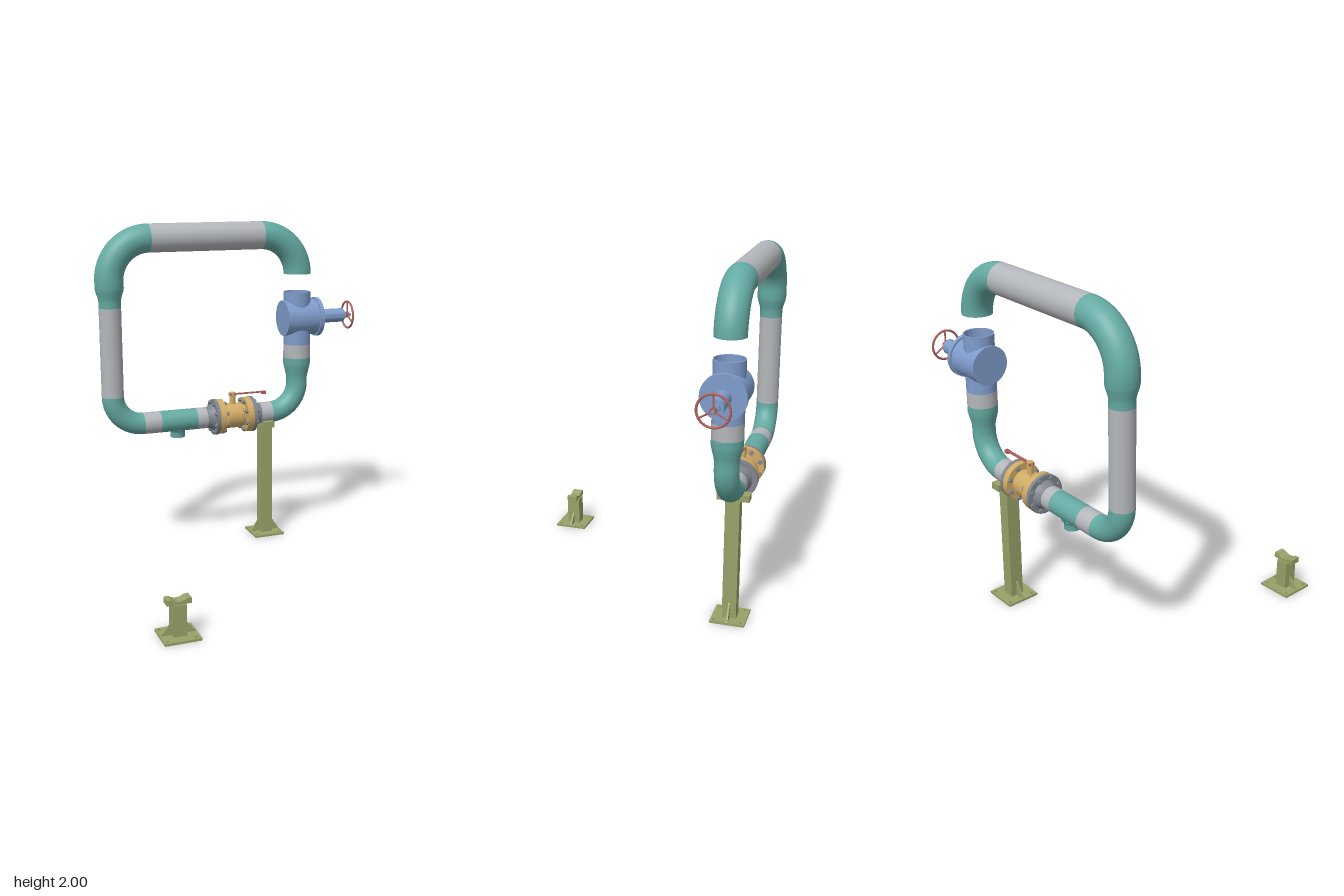
import * as THREE from 'three';
import { toCreasedNormals } from 'three/addons/utils/BufferGeometryUtils.js';

const Z = -0.625; // plane of the pipe loop
const material = (name, color) => {
  const m = new THREE.MeshStandardMaterial({ color, side: THREE.DoubleSide });
  m.name = name;
  return m;
};

export function createModel() {
  const root = new THREE.Group();
  root.name = 'pipeLoop';
  const teal = material('teal fitting', 0x65aaa3);
  const grey = material('grey pipe', 0xb4b7bb);
  const blue = material('blue valve', 0x7f9ccb);
  const tan = material('tan ball valve', 0xd0ab66);
  const olive = material('olive support', 0x98a168);
  const red = material('red handle', 0xae625d);
  const steel = material('steel flange', 0x7f858f);

  const add = (name, geo, mat, x = 0, y = 0, z = 0, parent = root) => {
    const mesh = new THREE.Mesh(geo, mat);
    mesh.name = name;
    mesh.position.set(x, y, z);
    parent.add(mesh);
    return mesh;
  };
  // Turned part; profile is [radius, distance along axis]
  const turned = (name, mat, profile, axis, x, y, z = Z, parent = root, sides = 40) => {
    const geo = toCreasedNormals(
      new THREE.LatheGeometry(profile.map(p => new THREE.Vector2(...p)), sides), 0.6);
    if (axis === 'x') geo.rotateZ(-Math.PI / 2);
    return add(name, geo, mat, x, y, z, parent);
  };
  const disc = (r, a, b) => [[0, a], [r, a], [r, b], [0, b]];

  const big = 0.085, small = 0.066, wall = 0.007;
  const left = -0.741, right = 0.455, low = 0.8, high = 1.915;

  // Straight pipe runs
  const run = (name, mat, r, a, b, axis, at) => turned(name, mat, [[r, a], [r, b]], axis,
    axis === 'x' ? 0 : at, axis === 'x' ? at : 0);
  run('topPipe', grey, big, -0.5, 0.213, 'x', high);
  run('leftPipe', grey, small, 0.98, 1.515, 'y', left);
  run('bottomPipe', grey, small, -0.56, -0.455, 'x', low);
  run('teeRun', teal, small, -0.455, -0.225, 'x', low);
  run('pipeBeforeValve', grey, small, -0.225, -0.16, 'x', low);
  run('pipeAfterValve', grey, small, 0.195, 0.273, 'x', low);
  run('rightPipe', grey, big, 1.145, 1.23, 'y', right);

  // Elbows, one quarter turn each
  const elbow = (name, r, bend, x, y, quarter) => {
    const e = add(name, new THREE.TorusGeometry(bend, r, 40, 28, Math.PI / 2), teal, x, y, Z);
    e.rotation.z = quarter * Math.PI / 2;
  };
  elbow('topRightElbow', big, 0.242, 0.213, 1.673, 0);
  elbow('topRightElbowBore', big - wall, 0.242, 0.213, 1.673, 0);
  elbow('topLeftElbow', big, 0.242, -0.5, 1.673, 1);
  elbow('bottomLeftElbow', small, 0.181, -0.56, 0.981, 2);
  elbow('bottomRightElbow', small, 0.182, 0.273, 0.982, 3);
  add('elbowRim', new THREE.RingGeometry(big - wall, big, 40), teal, right, 1.673, Z)
    .rotation.x = Math.PI / 2;

  // Reducers and tee branch
  turned('leftReducer', teal,
    [[small, 1.515], [small, 1.555], [0.07, 1.575], [0.081, 1.61], [big, 1.63], [big, 1.673]], 'y', left, 0);
  turned('rightReducer', teal,
    [[small, 0.98], [small, 1.02], [0.07, 1.04], [0.081, 1.085], [big, 1.105], [big, 1.145]], 'y', right, 0);
  turned('teeBranch', teal,
    [[0.037, 0.78], [0.037, 0.697], [0.044, 0.697], [0.044, 0.727], [0.048, 0.738], [0.058, 0.748]],
    'y', -0.342, 0);

  // Flanged ball valve, symmetric about its middle
  const valve = new THREE.Group();
  valve.name = 'ballValve';
  valve.position.set(0.0185, low, Z);
  root.add(valve);
  const half = [[0.06, 0.11], [0.109, 0.11], [0.109, 0.07], [0.07, 0.07], [0.07, 0.055], [0.077, 0.05], [0.078, 0.02]];
  turned('ballValveBody', tan,
    [...half.map(([r, a]) => [r, -a]), ...half.slice().reverse()], 'x', 0, 0, 0, valve);
  for (const s of [-1, 1]) {
    const end = new THREE.Group();
    end.name = s < 0 ? 'leftFlange' : 'rightFlange';
    end.rotation.y = s < 0 ? Math.PI : 0;
    valve.add(end);
    turned('weldNeckFlange', steel,
      [[0.06, 0.11], [0.111, 0.11], [0.111, 0.132], [0.082, 0.132], [small, 0.165], [small, 0.178]],
      'x', 0, 0, 0, end);
    for (let i = 0; i < 8; i++) {
      const a = (i + 0.5) * Math.PI / 4;
      const y = 0.094 * Math.cos(a), z = 0.094 * Math.sin(a);
      turned('bolt', steel, disc(0.0075, 0.052, 0.145), 'x', 0, y, z, end, 10);
      turned('nut', steel, disc(0.013, 0.057, 0.07), 'x', 0, y, z, end, 6);
      turned('boltHead', steel, disc(0.013, 0.132, 0.142), 'x', 0, y, z, end, 6);
    }
  }
  turned('ballValveStem', tan, disc(0.019, 0.06, 0.147), 'y', 0, 0, 0, valve);
  add('leverHub', new THREE.BoxGeometry(0.04, 0.012, 0.034), red, 0.002, 0.135, 0, valve);
  add('lever', new THREE.BoxGeometry(0.21, 0.008, 0.016), red, 0.115, 0.135, 0, valve);
  add('leverGrip', new THREE.BoxGeometry(0.028, 0.018, 0.022), red, 0.21, 0.13, 0, valve);

  // Large valve with handwheel
  const wy = 1.396;
  turned('largeValvePort', blue,
    [[big, 1.23], [big, 1.56], [big - wall, 1.56], [big - wall, 1.43], [0, 1.43]], 'y', right, 0);
  turned('largeValveBody', blue, disc(0.111, 0.358, 0.57), 'x', 0, wy);
  turned('largeValveBonnet', blue, disc(0.122, 0.569, 0.595), 'x', 0, wy);
  turned('largeValveStem', blue,
    [[0, 0.59], [0.043, 0.59], [0.043, 0.77], [0.026, 0.77], [0.026, 0.787], [0.008, 0.787], [0.008, 0.832], [0, 0.832]],
    'x', 0, wy);
  const wheel = new THREE.Group();
  wheel.name = 'handwheel';
  wheel.position.set(0.808, wy, Z);
  root.add(wheel);
  add('wheelRim', new THREE.TorusGeometry(0.084, 0.0065, 10, 40), red, 0, 0, 0, wheel).rotation.y = Math.PI / 2;
  turned('wheelHub', red, disc(0.018, -0.008, 0.008), 'x', 0, 0, 0, wheel);
  for (let i = 0; i < 3; i++) {
    const a = i * Math.PI * 2 / 3;
    add('wheelSpoke', new THREE.CylinderGeometry(0.005, 0.005, 0.07, 8), red,
      0, 0.048 * Math.cos(a), 0.048 * Math.sin(a), wheel).rotation.x = a;
  }

  // Pipe supports: drilled base, gussets, post and hollowed saddle
  const extrude = (shape, depth) => {
    const g = new THREE.ExtrudeGeometry(shape, { depth, bevelEnabled: false, curveSegments: 16 });
    return g.translate(0, 0, -depth / 2);
  };
  const support = (name, x, z, postTop, saddleTop, width, gusset, turn) => {
    const g = new THREE.Group();
    g.name = name;
    g.position.set(x, 0, z);
    root.add(g);
    const b = 0.098;
    const plate = new THREE.Shape([[-b, -b], [b, -b], [b, b], [-b, b]].map(p => new THREE.Vector2(...p)));
    for (const sx of [-1, 1]) for (const sy of [-1, 1]) {
      plate.holes.push(new THREE.Path().absarc(sx * 0.075, sy * 0.075, 0.009, 0, Math.PI * 2, true));
    }
    add('basePlate', extrude(plate, 0.013), olive, 0, 0.0065, 0, g).rotation.x = -Math.PI / 2;
    add('post', new THREE.BoxGeometry(0.071, postTop - 0.013, 0.08), olive, 0, (postTop + 0.013) / 2, 0, g);
    for (const s of [-1, 1]) {
      const tri = new THREE.Shape([[0.034, 0.013], [0.096, 0.013], [0.034, gusset]].map(p => new THREE.Vector2(...p)));
      add('gusset', extrude(tri, 0.01), olive, 0, 0, 0, g).rotation.y = s < 0 ? Math.PI : 0;
    }
    // Arc cut to the pipe radius
    const depth = saddleTop - postTop - 0.016;
    const cy = postTop + 0.016 + small;
    const reach = Math.acos((small - depth) / small);
    const w = width / 2;
    const block = new THREE.Shape();
    block.moveTo(-w, postTop);
    block.lineTo(w, postTop);
    block.lineTo(w, saddleTop);
    block.absarc(0, cy, small, -Math.PI / 2 + reach, -Math.PI / 2 - reach, true);
    block.lineTo(-w, saddleTop);
    add('saddle', extrude(block, 0.063), olive, 0, 0, 0, g).rotation.y = turn;
  };
  support('lowSupport', -0.741, 0.652, 0.181, 0.211, 0.13, 0.082, 0);
  support('tallSupport', 0.235, Z, 0.718, 0.756, 0.18, 0.108, Math.PI / 2);

  return root;
}
